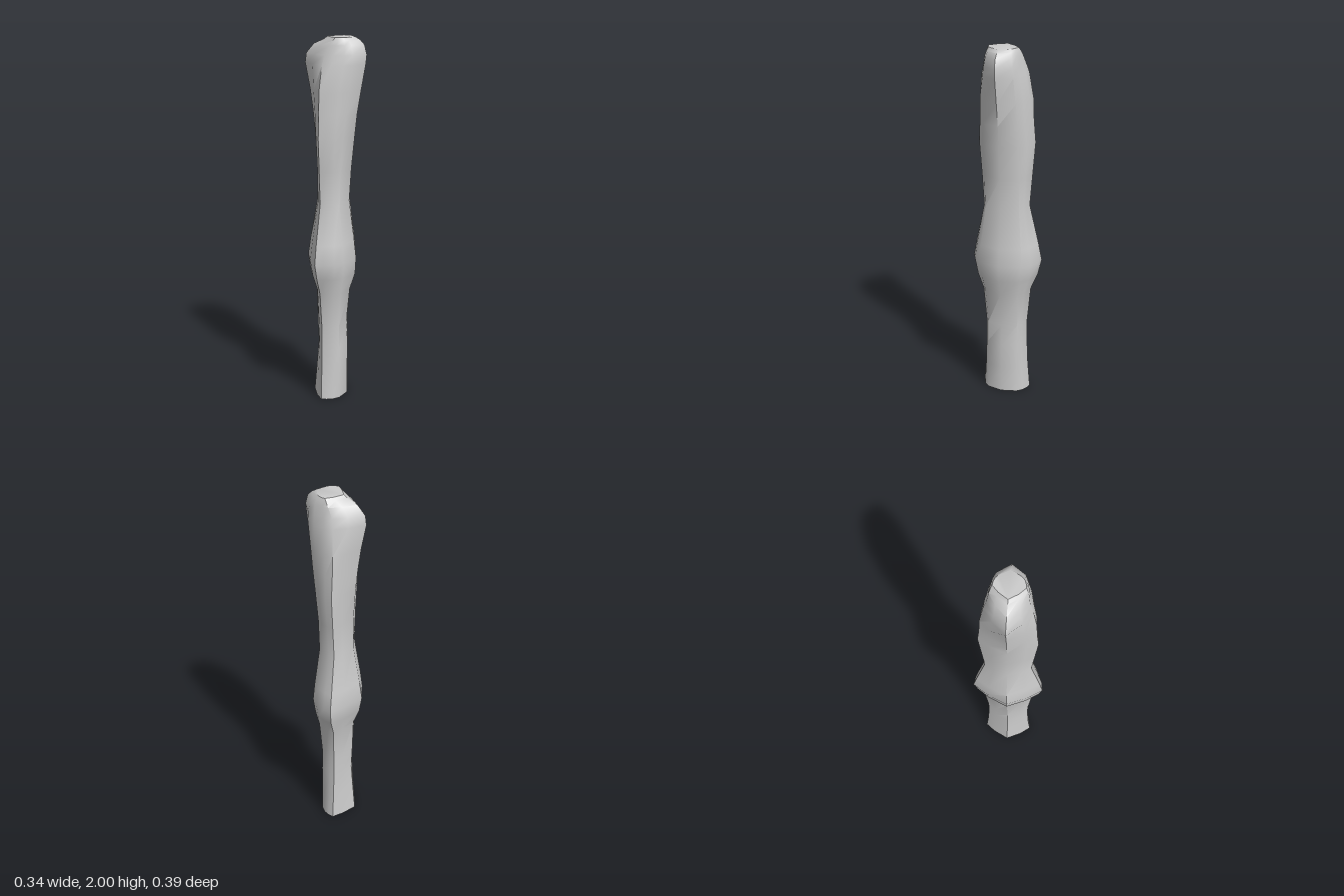
import * as THREE from 'three';
import { toCreasedNormals } from 'three/addons/utils/BufferGeometryUtils.js';

// Sections from foot to head:
// height, left edge x, right edge x, half depth, x of the deepest point, corner x, corner z
const SECTIONS = [
  [0.00, -0.125, 0.065, 0.135, -0.045, 0.045, 0.085],
  [0.15, -0.112, 0.066, 0.123, -0.045, 0.045, 0.085],
  [0.30, -0.100, 0.068, 0.117, -0.045, 0.045, 0.085],
  [0.42, -0.105, 0.060, 0.117, -0.045, 0.042, 0.085],
  [0.62, -0.110, 0.080, 0.135, -0.050, 0.055, 0.095],
  [0.71, -0.145, 0.110, 0.173, -0.055, 0.072, 0.110],
  [0.80, -0.160, 0.115, 0.194, -0.060, 0.080, 0.120],
  [0.90, -0.145, 0.104, 0.174, -0.058, 0.072, 0.115],
  [1.12, -0.105, 0.075, 0.125, -0.050, 0.050, 0.095],
  [1.30, -0.105, 0.087, 0.140, -0.050, 0.054, 0.098],
  [1.48, -0.115, 0.105, 0.155, -0.050, 0.070, 0.100],
  [1.60, -0.127, 0.118, 0.145, -0.050, 0.085, 0.095],
  [1.72, -0.143, 0.138, 0.141, -0.050, 0.098, 0.090],
  [1.86, -0.170, 0.163, 0.120, -0.040, 0.115, 0.082],
  [1.91, -0.163, 0.168, 0.105, -0.030, 0.115, 0.077],
  [1.96, -0.120, 0.155, 0.095, -0.005, 0.105, 0.070],
  [1.985, -0.065, 0.132, 0.087, 0.010, 0.090, 0.062],
  [2.00, -0.045, 0.105, 0.080, 0.020, 0.075, 0.055],
];

// Half outline from the left edge round the +z side, then mirrored in z
function ring([y, left, right, depth, peakX, cornerX, cornerZ]) {
  const mix = THREE.MathUtils.lerp;
  const half = [
    [mix(left, peakX, 0.5), depth * 0.61],
    [peakX, depth],
    [mix(peakX, cornerX, 0.32), mix(depth, cornerZ, 0.09)],
    [mix(peakX, cornerX, 0.71), mix(depth, cornerZ, 0.43)],
    [cornerX, cornerZ],
  ];
  const back = half.map(([x, z]) => [x, -z]).reverse();
  return [[left, 0], ...half, [right, 0], ...back].map(([x, z]) => [x, y, z]);
}

function loft(sections) {
  const rings = sections.map(ring);
  const n = rings[0].length;
  const positions = rings.flat(2);
  const index = [];
  for (let i = 0; i < rings.length - 1; i++) {
    for (let j = 0; j < n; j++) {
      const a = i * n + j;
      const b = i * n + (j + 1) % n;
      index.push(a, b, b + n, a, b + n, a + n);
    }
  }
  // Flat end caps
  const last = (rings.length - 1) * n;
  for (let j = 1; j < n - 1; j++) {
    index.push(0, j + 1, j);
    index.push(last, last + j, last + j + 1);
  }
  const geometry = new THREE.BufferGeometry();
  geometry.setAttribute('position', new THREE.Float32BufferAttribute(positions, 3));
  geometry.setIndex(index);
  return toCreasedNormals(geometry, THREE.MathUtils.degToRad(42));
}

export function createModel() {
  const group = new THREE.Group();
  group.name = 'carvedLimb';
  const material = new THREE.MeshStandardMaterial({ color: 0xcccccc });
  const limb = new THREE.Mesh(loft(SECTIONS), material);
  limb.name = 'limb';
  group.add(limb);
  return group;
}
